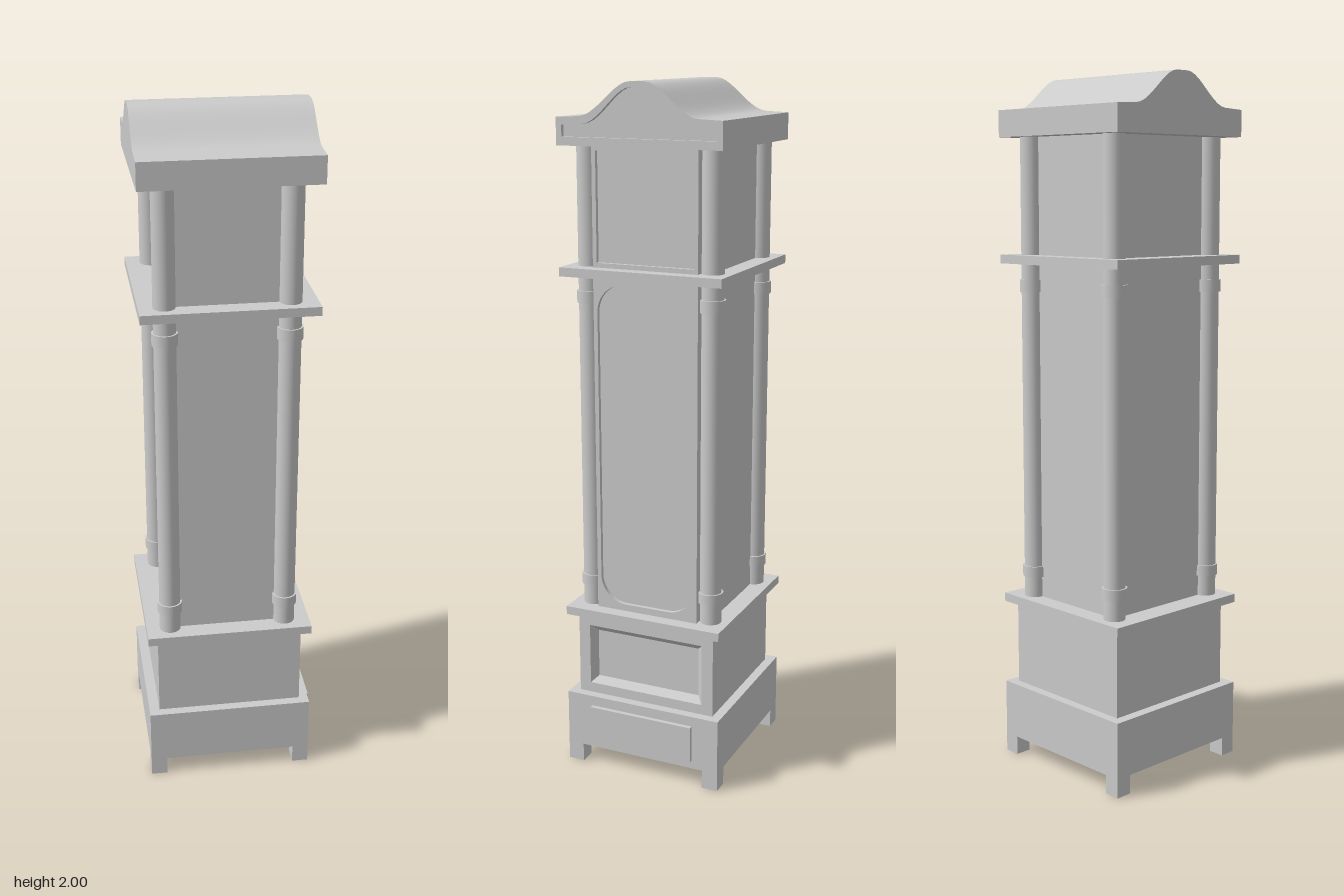
import * as THREE from 'three';
import { toCreasedNormals } from 'three/addons/utils/BufferGeometryUtils.js';

const material = new THREE.MeshStandardMaterial({ color: 0xcccccc });
const CX = -0.0075; // centre of the case in x; the doors face +x

export function createModel() {
  const clock = new THREE.Group();
  clock.name = 'longcaseClock';

  const add = (name, geometry) => {
    const mesh = new THREE.Mesh(geometry, material);
    mesh.name = name;
    clock.add(mesh);
    return mesh;
  };

  // Box from its limits in x and y, centred on z = 0
  const box = (name, x0, x1, y0, y1, halfZ) => {
    const mesh = add(name, new THREE.BoxGeometry(x1 - x0, y1 - y0, 2 * halfZ));
    mesh.position.set((x0 + x1) / 2, (y0 + y1) / 2, 0);
    return mesh;
  };

  // Outline in the z-y plane, with optional rounded corners
  const panelOutline = (half, y0, y1, r = 0) => {
    const s = new THREE.Shape();
    if (!r) {
      return s.moveTo(-half, y0).lineTo(half, y0).lineTo(half, y1).lineTo(-half, y1).closePath();
    }
    s.absarc(half - r, y0 + r, r, -Math.PI / 2, 0, false);
    s.absarc(half - r, y1 - r, r, 0, Math.PI / 2, false);
    s.absarc(-half + r, y1 - r, r, Math.PI / 2, Math.PI, false);
    s.absarc(-half + r, y0 + r, r, Math.PI, Math.PI * 1.5, false);
    return s.closePath();
  };

  // Extrude an outline along x, optionally cutting a hole
  const extrudeX = (name, shape, x0, x1, hole) => {
    if (hole) shape.holes.push(hole);
    let g = new THREE.ExtrudeGeometry(shape, { depth: x1 - x0, bevelEnabled: false, curveSegments: 10 });
    g.rotateY(Math.PI / 2).translate(x0, 0, 0);
    add(name, toCreasedNormals(g, 0.6));
  };

  // Base with four feet and a raised front panel
  for (const sx of [-1, 1]) {
    for (const sz of [-1, 1]) {
      const foot = add('foot', new THREE.BoxGeometry(0.048, 0.056, 0.048));
      foot.position.set(CX + sx * 0.2185, 0.028, sz * 0.2185);
    }
  }
  box('base', -0.25, 0.235, 0.055, 0.22, 0.2425);
  box('basePanel', 0.23, 0.248, 0.08, 0.19, 0.162);

  // Plinth with a splayed recess in front
  box('plinth', -0.22, 0.186, 0.22, 0.47, 0.215);
  extrudeX('plinthFrame', panelOutline(0.215, 0.22, 0.47), 0.186, 0.208, panelOutline(0.18, 0.25, 0.435));
  const rim = (x, h, y0, y1) => [[x, y0, h], [x, y0, -h], [x, y1, -h], [x, y1, h]];
  const outer = rim(0.208, 0.18, 0.25, 0.435);
  const inner = rim(0.187, 0.162, 0.268, 0.415);
  const points = [];
  for (let i = 0; i < 4; i++) {
    const j = (i + 1) % 4;
    points.push(...outer[i], ...outer[j], ...inner[j], ...outer[i], ...inner[j], ...inner[i]);
  }
  const splay = new THREE.BufferGeometry();
  splay.setAttribute('position', new THREE.Float32BufferAttribute(points, 3));
  splay.computeVertexNormals();
  add('plinthMoulding', splay);

  // Ledges
  box('lowerLedge', -0.25, 0.235, 0.47, 0.495, 0.2425);
  box('upperLedge', -0.25, 0.235, 1.475, 1.5, 0.2425);

  // Trunk and hood, each with a framed, sunken door
  box('trunk', -0.18, 0.16, 0.495, 1.475, 0.187);
  box('hood', -0.18, 0.16, 1.5, 1.83, 0.187);
  box('trunkDoor', 0.16, 0.183, 0.495, 1.475, 0.158);
  box('hoodDoor', 0.16, 0.183, 1.5, 1.83, 0.158);
  extrudeX('trunkDoorFrame', panelOutline(0.158, 0.495, 1.475), 0.183, 0.195,
    panelOutline(0.146, 0.515, 1.455, 0.08));
  extrudeX('hoodDoorFrame', panelOutline(0.158, 1.5, 1.83), 0.183, 0.195,
    panelOutline(0.146, 1.513, 1.817));

  // Corner columns, with collars on the trunk
  const cylinder = (name, r, y0, y1, x, z) => {
    const mesh = add(name, new THREE.CylinderGeometry(r, r, y1 - y0, 28));
    mesh.position.set(x, (y0 + y1) / 2, z);
  };
  for (const x of [-0.18, 0.16]) {
    for (const z of [-0.187, 0.187]) {
      cylinder('trunkColumn', 0.031, 0.495, 1.475, x, z);
      cylinder('hoodColumn', 0.031, 1.5, 1.83, x, z);
      cylinder('lowerCollar', 0.036, 0.555, 0.587, x, z);
      cylinder('upperCollar', 0.036, 1.395, 1.43, x, z);
    }
  }

  // Roof with a swept gable and a sunken front
  const gable = (half, y0, yEdge, rise, k) => {
    const s = new THREE.Shape();
    const foot = 0.175 * k;
    s.moveTo(-half, y0).lineTo(half, y0).lineTo(half, yEdge).lineTo(foot, yEdge + 0.003);
    s.bezierCurveTo(0.12 * k, yEdge + 0.005, 0.07 * k, yEdge + rise, 0.02 * k, yEdge + rise);
    s.lineTo(-0.02 * k, yEdge + rise);
    s.bezierCurveTo(-0.07 * k, yEdge + rise, -0.12 * k, yEdge + 0.005, -foot, yEdge + 0.003);
    return s.lineTo(-half, yEdge).closePath();
  };
  extrudeX('roof', gable(0.2425, 1.83, 1.905, 0.095, 1), -0.25, 0.222);
  extrudeX('gableRim', gable(0.2425, 1.83, 1.905, 0.095, 1), 0.222, 0.235,
    gable(0.226, 1.853, 1.885, 0.1, 0.94));

  return clock;
}
